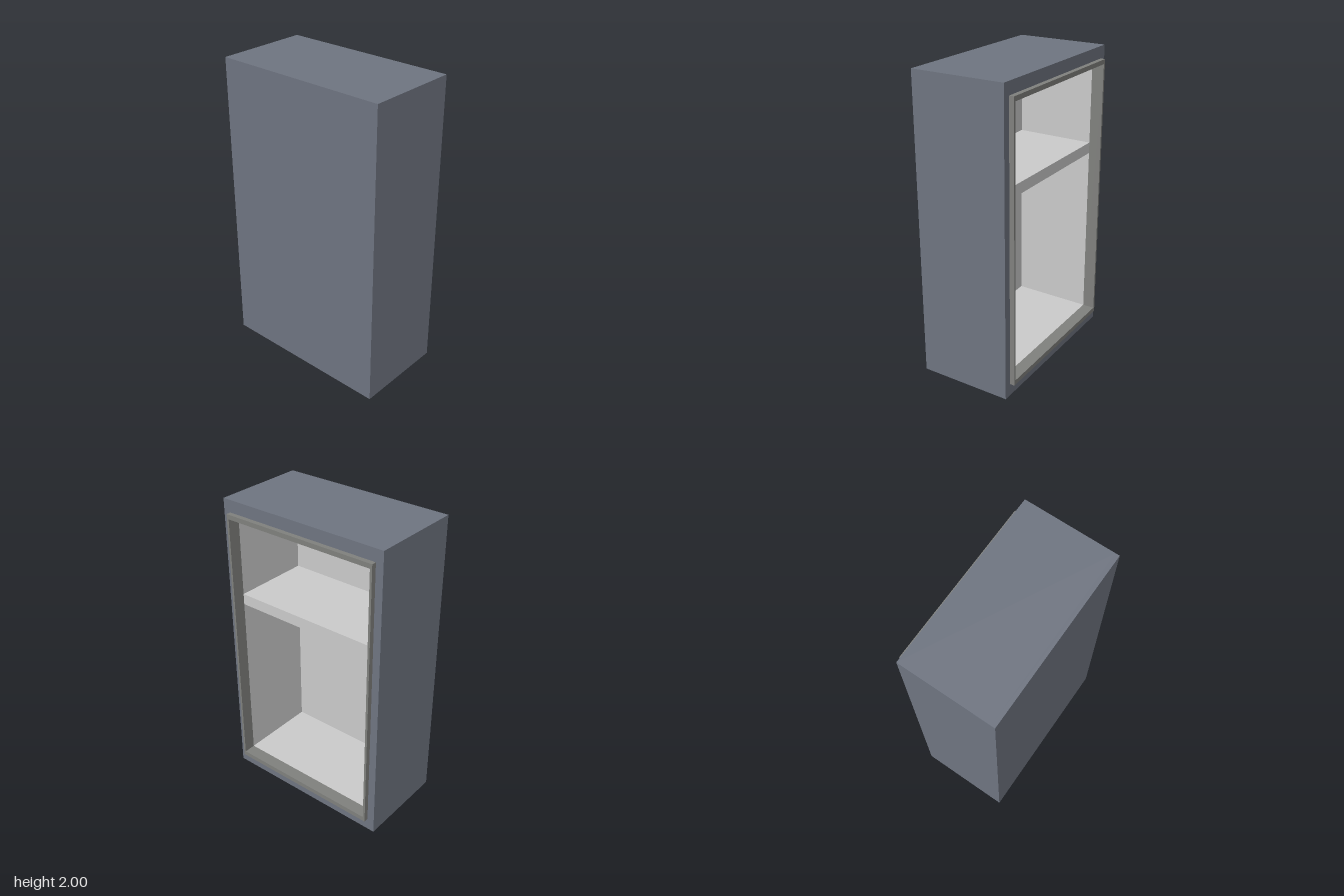
import * as THREE from 'three';

const bodyMat = new THREE.MeshStandardMaterial({ color: 0x6f7581 });
const frameMat = new THREE.MeshStandardMaterial({ color: 0x80817e });
const innerMat = new THREE.MeshStandardMaterial({ color: 0xcccccc });

// Rectangles in the z-y plane: half width, bottom, top
const OUTER = [0.59, 0, 2];
const RIM = [0.54, 0.083, 1.92];
const OPENING = [0.525, 0.115, 1.89];

function rectPath(path, [w, y0, y1]) {
  path.moveTo(-w, y0);
  path.lineTo(w, y0);
  path.lineTo(w, y1);
  path.lineTo(-w, y1);
  path.closePath();
  return path;
}

// Rectangular slab from x0 to x1, optionally with a rectangular hole
function slab(name, mat, outer, hole, x0, x1) {
  const shape = rectPath(new THREE.Shape(), outer);
  if (hole) shape.holes.push(rectPath(new THREE.Path(), hole));
  const geo = new THREE.ExtrudeGeometry(shape, { depth: x1 - x0, bevelEnabled: false });
  geo.rotateY(Math.PI / 2).translate(x0, 0, 0);
  const mesh = new THREE.Mesh(geo, mat);
  mesh.name = name;
  return mesh;
}

export function createModel() {
  const group = new THREE.Group();
  group.name = 'cabinet';
  group.add(
    // Outer casing
    slab('casingWalls', bodyMat, OUTER, RIM, -0.3, 0.295),
    slab('casingBack', bodyMat, OUTER, null, -0.327, -0.3),
    // Protruding rim around the opening, reaching a little way inside
    slab('rim', frameMat, RIM, OPENING, 0.245, 0.327),
    // Pale interior lining
    slab('liningWalls', innerMat, RIM, OPENING, -0.285, 0.245),
    slab('liningBack', innerMat, RIM, null, -0.3, -0.285),
    // Fixed shelf dividing the two compartments
    slab('shelf', innerMat, [0.525, 1.28, 1.353], null, -0.285, 0.245)
  );
  return group;
}
